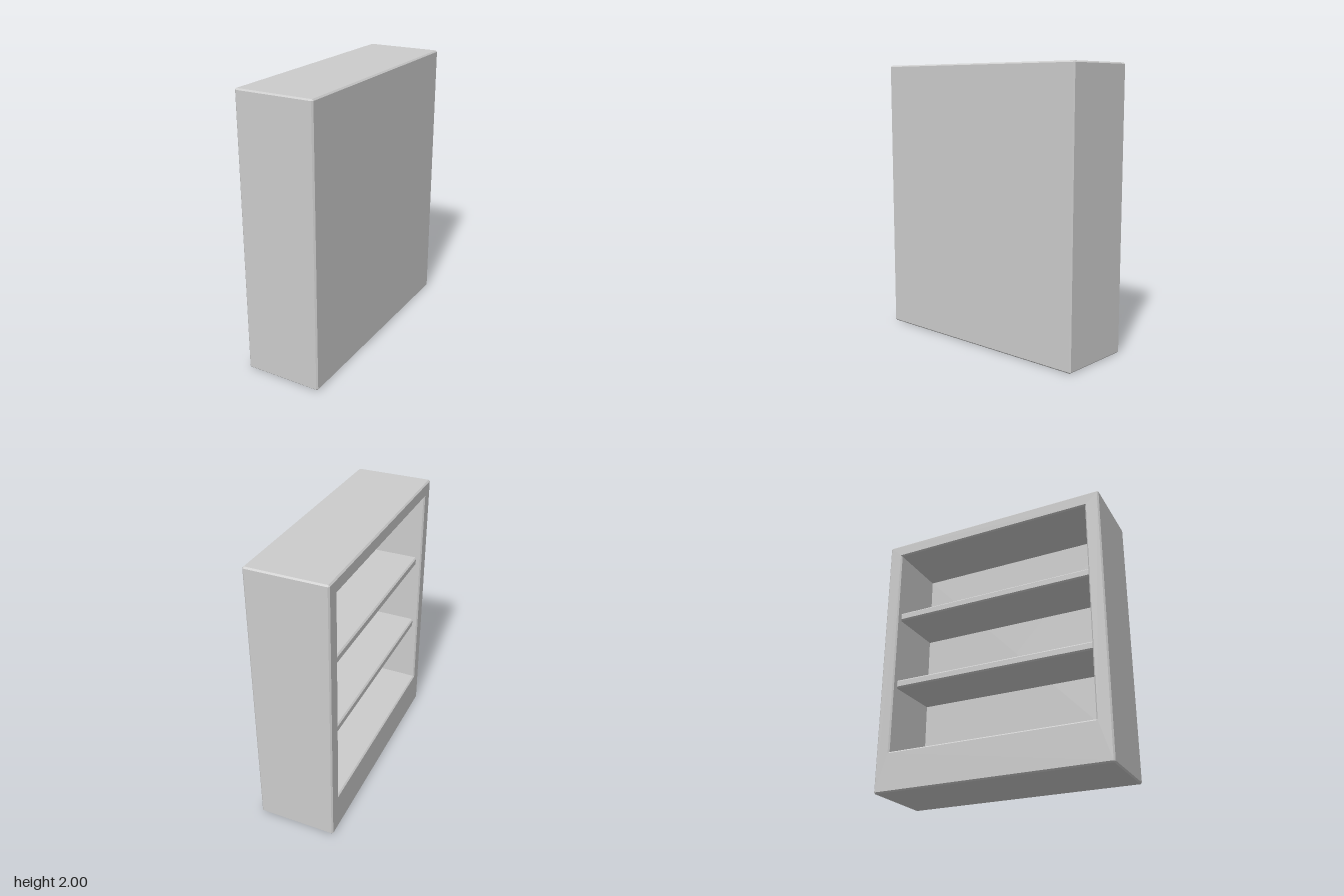
import * as THREE from 'three';

const material = new THREE.MeshStandardMaterial({ color: 0xcccccc, flatShading: true });
const BEVEL = 0.01;

// Octagon (rectangle with cut corners) at depth x, counter-clockwise seen from +x
function ring(x, halfZ, low, high, cut = 0) {
  return [
    [halfZ - cut, low], [cut - halfZ, low],
    [-halfZ, low + cut], [-halfZ, high - cut],
    [cut - halfZ, high], [halfZ - cut, high],
    [halfZ, high - cut], [halfZ, low + cut],
  ].map(([z, y]) => new THREE.Vector3(x, y, z));
}

// Closed solid lofted through rings, capped at both ends
function loft(name, rings) {
  const points = [];
  const cap = (r, flip) => {
    const centre = r.reduce((sum, p) => sum.add(p), new THREE.Vector3()).divideScalar(r.length);
    r.forEach((p, i) => {
      const q = r[(i + 1) % r.length];
      points.push(centre, ...(flip ? [q, p] : [p, q]));
    });
  };
  cap(rings[0], false);
  for (let k = 0; k < rings.length - 1; k++) {
    const a = rings[k], b = rings[k + 1];
    for (let i = 0; i < a.length; i++) {
      const j = (i + 1) % a.length;
      points.push(a[i], b[i], b[j], a[i], b[j], a[j]);
    }
  }
  cap(rings[rings.length - 1], true);
  const geometry = new THREE.BufferGeometry().setFromPoints(points);
  geometry.computeVertexNormals();
  const mesh = new THREE.Mesh(geometry, material);
  mesh.name = name;
  return mesh;
}

export function createModel() {
  const group = new THREE.Group();
  group.name = 'bookcase';
  const halfX = 0.283, halfZ = 0.872, height = 2;
  const innerZ = 0.766, floorY = 0.29, ceilingY = 1.9, backX = 0.19;

  // Cabinet: bevelled outer box, then the rim, then the recess open towards -x
  group.add(loft('cabinet', [
    ring(halfX, halfZ - BEVEL, BEVEL, height - BEVEL),
    ring(halfX - BEVEL, halfZ, 0, height, BEVEL),
    ring(BEVEL - halfX, halfZ, 0, height, BEVEL),
    ring(-halfX, halfZ - BEVEL, BEVEL, height - BEVEL),
    ring(-halfX, innerZ + BEVEL, floorY - BEVEL, ceilingY + BEVEL),
    ring(BEVEL - halfX, innerZ, floorY, ceilingY),
    ring(backX, innerZ, floorY, ceilingY),
  ]));

  // Two evenly spaced shelves, set back from the rim
  const thickness = 0.06, frontX = -0.245;
  const step = (ceilingY - floorY + thickness) / 3;
  for (let i = 1; i <= 2; i++) {
    const top = floorY + i * step, bottom = top - thickness;
    group.add(loft('shelf' + i, [
      ring(backX + 0.01, innerZ, bottom, top),
      ring(frontX + BEVEL, innerZ, bottom, top),
      ring(frontX, innerZ - BEVEL, bottom + BEVEL, top - BEVEL),
    ]));
  }
  return group;
}
